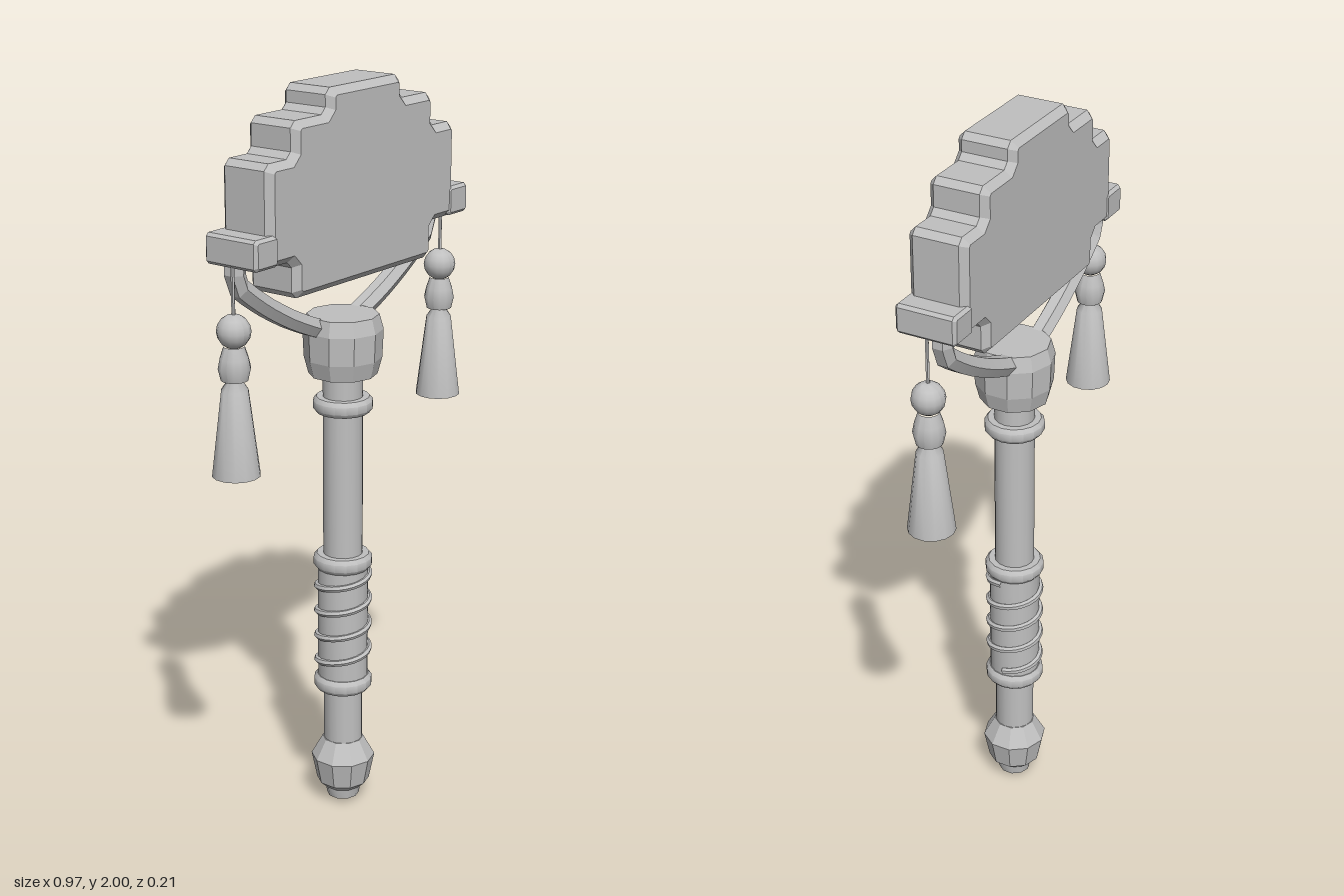
import * as THREE from 'three';
import { toCreasedNormals } from 'three/addons/utils/BufferGeometryUtils.js';

export function createModel() {
  const model = new THREE.Group();
  const grey = new THREE.MeshStandardMaterial({ color: 0xc0c0c0 });
  grey.name = 'plain grey';

  const FLAT = 0.05, SMOOTH = 0.72;
  function add(name, geometry, crease = SMOOTH, parent = model) {
    const mesh = new THREE.Mesh(toCreasedNormals(geometry, crease), grey);
    mesh.name = name;
    parent.add(mesh);
    return mesh;
  }

  // Turned part: [radius, height] pairs from bottom to top
  const turned = (profile, sides) =>
    new THREE.LatheGeometry(profile.map(([r, y]) => new THREE.Vector2(r, y)), sides);

  // Bevelled plate with every outline corner clipped
  function plate(points, halfDepth, bevel, clip) {
    const n = points.length, outline = [];
    points.forEach(([x, y], i) => {
      const p = new THREE.Vector2(x, y);
      for (const j of [(i + n - 1) % n, (i + 1) % n]) {
        const d = new THREE.Vector2(...points[j]).sub(p).setLength(clip);
        outline.push(p.clone().add(d));
      }
    });
    const depth = 2 * (halfDepth - bevel);
    return new THREE.ExtrudeGeometry(new THREE.Shape(outline), {
      depth, bevelEnabled: true, bevelSegments: 1,
      bevelThickness: bevel, bevelSize: bevel, bevelOffset: -bevel,
    }).translate(0, 0, -depth / 2);
  }

  // Stepped head
  const half = [[0.28, 1.505], [0.28, 1.6], [0.378, 1.6], [0.378, 1.85],
    [0.28, 1.85], [0.28, 1.938], [0.147, 1.938], [0.147, 2]];
  const mirrored = half.map(([x, y]) => [-x, y]).reverse();
  add('head', plate([...half, ...mirrored], 0.079, 0.018, 0.016), FLAT);

  // Handle: shaft, collar, grip, rings and pommel
  add('shaft', turned([[0.053, 0.15], [0.053, 1.3]], 16));
  add('collar', turned([[0, 1.24], [0.09, 1.24], [0.102, 1.285], [0.105, 1.36],
    [0.094, 1.4], [0, 1.4]], 10), FLAT);
  add('grip', turned([[0.05, 0.345], [0.068, 0.365], [0.068, 0.72], [0.05, 0.735]], 16));
  for (const y of [0.364, 0.719, 1.158]) {
    add('ring', turned([[0.05, y - 0.021], [0.07, y - 0.021], [0.079, y - 0.01],
      [0.079, y + 0.01], [0.07, y + 0.021], [0.05, y + 0.021]], 16));
  }
  add('pommel', turned([[0, 0.043], [0.05, 0.043], [0.072, 0.063], [0.087, 0.137],
    [0.056, 0.192], [0, 0.192]], 10), FLAT);
  add('pommelTip', turned([[0, 0], [0.006, 0.015], [0.044, 0.015], [0.05, 0.05]], 10));

  // Cord wound around the grip
  const turns = 4, coil = [];
  for (let i = 0; i <= turns * 12; i++) {
    const t = i / (turns * 12), a = t * turns * Math.PI * 2 + Math.PI / 2;
    coil.push(new THREE.Vector3(0.07 * Math.sin(a), 0.4 + 0.29 * t, 0.07 * Math.cos(a)));
  }
  add('gripCord', new THREE.TubeGeometry(new THREE.CatmullRomCurve3(coil), 96, 0.009, 6));

  // Arms, end blocks and hanging tassels on both sides
  for (const s of [1, -1]) {
    const path = [[0.39, 1.62], [0.388, 1.55], [0.29, 1.478], [0.19, 1.422],
      [0.09, 1.378], [0, 1.35]];
    const curve = new THREE.CatmullRomCurve3(
      path.map(([x, y]) => new THREE.Vector3(s * x, y, -0.022)), false, 'catmullrom', 0.3);
    add('arm', new THREE.TubeGeometry(curve, 12, 0.028, 6), FLAT);

    add('endBlock', plate([[0.349, 1.603], [0.435, 1.603], [0.435, 1.68], [0.349, 1.68]]
      .map(([x, y]) => [x - 0.392, y]), 0.082, 0.008, 0.008), FLAT).position.x = s * 0.392;

    const tassel = new THREE.Group();
    tassel.name = 'tassel';
    tassel.position.x = s * 0.426;
    model.add(tassel);
    add('string', new THREE.CylinderGeometry(0.005, 0.005, 0.15, 6).translate(0, 1.545, 0),
      SMOOTH, tassel);
    add('bead', new THREE.SphereGeometry(0.043, 14, 8).translate(0, 1.447, 0), SMOOTH, tassel);
    add('knot', turned([[0, 1.325], [0.034, 1.325], [0.041, 1.355], [0.036, 1.38],
      [0.026, 1.41]], 14), SMOOTH, tassel);
    add('skirt', turned([[0, 1.08], [0.061, 1.08], [0.034, 1.3], [0.022, 1.318],
      [0.022, 1.33]], 14), SMOOTH, tassel);
  }
  return model;
}
